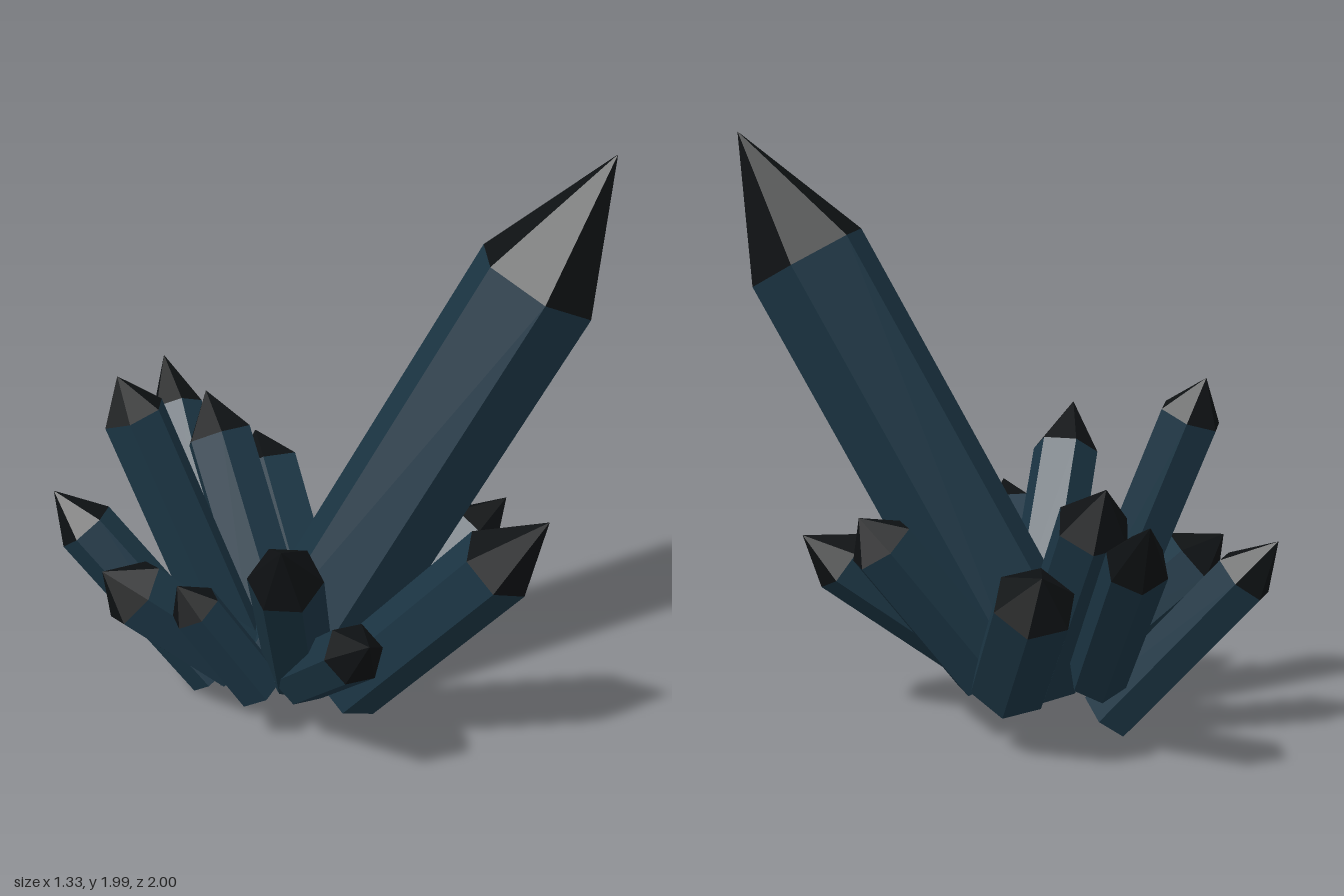
import * as THREE from 'three';

const bodyMaterial = new THREE.MeshStandardMaterial({ color: 0x1c3645 });
const darkMaterial = new THREE.MeshStandardMaterial({ color: 0x0e1113 });

// Each crystal: base centre, tip, radius, point length, spin in degrees
// (spin 0 puts a pair of prism edges level, at right angles to the lean)
const CRYSTALS = [
  ['mainCrystal', [-0.07, 0.22, 0.05], [0.64, 2.0, 0.73], 0.215, 0.48, 0],
  ['frontCrystal', [-0.08, 0.2, 0.29], [0.05, 1.03, 1.0], 0.13, 0.26, 30],
  ['tallBackCrystal', [-0.2, 0.14, -0.09], [-0.44, 1.22, -0.44], 0.11, 0.14, 10],
  ['frontRightCrystal', [-0.18, 0.25, 0.15], [-0.6, 0.98, 0.5], 0.12, 0.2, 0],
  ['lowFrontRightCrystal', [-0.22, 0.25, 0.2], [-0.43, 0.67, 0.71], 0.1, 0.15, 0],
  ['sideRightCrystal', [-0.29, 0.25, -0.06], [-0.66, 0.63, -0.29], 0.125, 0.14, 20],
  ['smallSideRightCrystal', [-0.32, 0.21, 0.1], [-0.56, 0.64, -0.03], 0.09, 0.11, 0],
  ['longBackRightCrystal', [-0.2, 0.065, -0.25], [-0.51, 0.72, -0.73], 0.105, 0.17, 0],
  ['backCrystal', [-0.05, 0.26, -0.38], [0.24, 0.93, -1.0], 0.1, 0.22, 30],
  ['middleBackCrystal', [-0.02, 0.2, -0.12], [0.1, 0.95, -0.61], 0.125, 0.17, 10],
  ['backLeftCrystal', [0.2, 0.24, -0.23], [0.35, 0.71, -0.62], 0.135, 0.14, 10],
  ['sideLeftCrystal', [0.19, 0.24, -0.08], [0.6, 0.8, 0.04], 0.115, 0.12, 0],
  ['frontLeftCrystal', [0.1, 0.25, 0.17], [0.63, 0.68, 0.36], 0.11, 0.16, 30],
];

// Gives every facet its own flat normals
function faceted(geometry) {
  const flat = geometry.toNonIndexed();
  flat.computeVertexNormals();
  return flat;
}

// Six-sided prism with a pointed end and a flat dark base, built along +y
function makeCrystal(name, base, tip, radius, pointLength, spin) {
  const start = new THREE.Vector3(...base);
  const axis = new THREE.Vector3(...tip).sub(start);
  const bodyLength = axis.length() - pointLength;
  axis.normalize();

  const crystal = new THREE.Group();
  crystal.name = name;
  const addPart = (part, geometry, material) => {
    const mesh = new THREE.Mesh(geometry, material);
    mesh.name = name + part;
    crystal.add(mesh);
  };
  addPart('Body', faceted(new THREE.CylinderGeometry(radius, radius, bodyLength, 6, 1, true))
    .translate(0, bodyLength / 2, 0), bodyMaterial);
  addPart('Tip', faceted(new THREE.ConeGeometry(radius, pointLength, 6, 1, true))
    .translate(0, bodyLength + pointLength / 2, 0), darkMaterial);
  addPart('Base', new THREE.CircleGeometry(radius, 6).rotateZ(Math.PI / 6)
    .rotateX(Math.PI / 2), darkMaterial);

  // Local x is the level direction across the lean, y runs up the axis
  const across = new THREE.Vector3(axis.z, 0, -axis.x).normalize();
  const side = new THREE.Vector3().crossVectors(across, axis);
  crystal.quaternion.setFromRotationMatrix(new THREE.Matrix4().makeBasis(across, axis, side));
  crystal.rotateY(THREE.MathUtils.degToRad(30 + spin));
  crystal.position.copy(start);
  return crystal;
}

export function createModel() {
  const model = new THREE.Group();
  model.name = 'crystalCluster';
  for (const spec of CRYSTALS) model.add(makeCrystal(...spec));
  return model;
}
